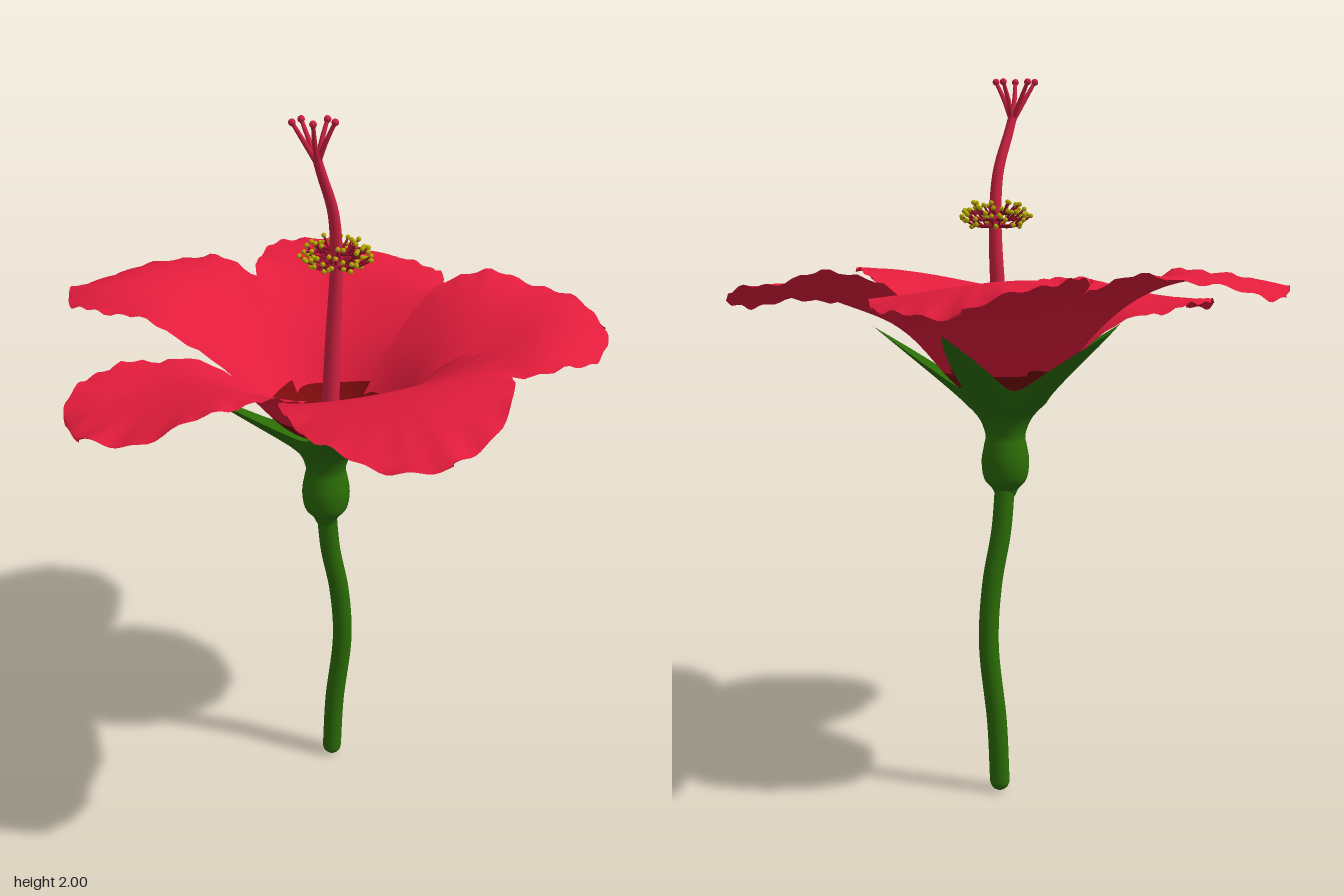
import * as THREE from 'three';

const mat = (name, color, side = THREE.FrontSide) => {
  const m = new THREE.MeshStandardMaterial({ color, side });
  m.name = name;
  return m;
};
const V = (x, y, z) => new THREE.Vector3(x, y, z);
const DEG = Math.PI / 180;

// Surface from a rule f(u, v) -> Vector3; wrap joins the last column to the first
function surface(f, rows, cols, wrap = false) {
  const pos = [], idx = [], n = wrap ? cols : cols + 1;
  for (let i = 0; i <= rows; i++)
    for (let j = 0; j < n; j++) pos.push(...f(i / rows, j / cols).toArray());
  for (let i = 0; i < rows; i++)
    for (let j = 0; j < cols; j++) {
      const a = i * n + j, b = i * n + (j + 1) % n;
      idx.push(a, a + n, b, b, a + n, b + n);
    }
  const g = new THREE.BufferGeometry();
  g.setAttribute('position', new THREE.Float32BufferAttribute(pos, 3));
  g.setIndex(idx);
  g.computeVertexNormals();
  return g;
}

// Tube through points whose radius runs from r0 to r1
function taperedTube(points, r0, r1, segs, sides) {
  const curve = new THREE.CatmullRomCurve3(points);
  const g = new THREE.TubeGeometry(curve, segs, 1, sides);
  const p = g.attributes.position, v = V(0, 0, 0);
  for (let i = 0; i < p.count; i++) {
    const t = Math.floor(i / (sides + 1)) / segs, c = curve.getPointAt(t);
    v.fromBufferAttribute(p, i).sub(c).multiplyScalar(r0 + (r1 - r0) * t).add(c);
    p.setXYZ(i, v.x, v.y, v.z);
  }
  return g;
}

export function createModel() {
  const root = new THREE.Group();
  root.name = 'flower';
  const green = mat('leafGreen', 0x2b6c06);
  const calyxGreen = mat('calyxGreen', 0x2b6c06, THREE.DoubleSide);
  const red = mat('petalRed', 0xe31c3c, THREE.DoubleSide);
  const dark = mat('throatDarkRed', 0x7a0a0c, THREE.DoubleSide);
  const columnRed = mat('columnRed', 0xd22242);
  const filamentRed = mat('filamentRed', 0x94102c);
  const yellow = mat('antherYellow', 0xbcac04);
  const add = (name, geo, material, parent = root) => {
    const m = new THREE.Mesh(geo, material);
    m.name = name;
    parent.add(m);
    return m;
  };

  // Stem with a rounded foot
  add('stem', taperedTube([V(0.002, 0.028, -0.04), V(0.01, 0.2, -0.039), V(0.033, 0.43, -0.034),
    V(0.023, 0.6, -0.023), V(-0.003, 0.75, -0.009), V(-0.015, 0.9, 0.005)], 0.028, 0.028, 40, 16), green);
  add('stemFoot', new THREE.SphereGeometry(0.028, 16, 10), green).position.set(0.002, 0.028, -0.04);

  // Calyx: round bulb flaring into five pointed, channelled sepals
  const bulb = new THREE.SplineCurve([[0.027, 0.845], [0.038, 0.868], [0.06, 0.895], [0.067, 0.945],
    [0.06, 0.99], [0.056, 1.02], [0.075, 1.068], [0.115, 1.11]].map(p => new THREE.Vector2(...p)));
  const calyxRule = (u, v) => {
    const a = v * 360, off = Math.abs(((a + 36) % 72) - 36) / 36;
    let r, y;
    if (u <= 0.6) {
      const p = bulb.getPoint(u / 0.6);
      r = p.x; y = p.y;
    } else {
      const t = (u - 0.6) / 0.4, rim = 0.14 + 0.235 * Math.pow(1 - off, 2.2);
      r = 0.115 + (rim - 0.115) * t;
      y = 1.11 + 0.8 * (r - 0.115) + 0.026 * t * (1 - (1 - off) ** 3);
    }
    const t = (a + 10) * DEG;
    return V(-0.015 + r * Math.cos(t), y, 0.01 + r * Math.sin(t));
  };
  add('calyx', surface(calyxRule, 40, 100, true), calyxGreen);

  // Petals: shared funnel shape, each with its own angle, length, lift and tilt
  const petals = [
    [-4, 0.755, 0.0, -0.045],
    [70, 0.79, 0.015, -0.035],
    [137.5, 0.8, -0.015, -0.02],
    [207, 0.79, 0.042, 0.0],
    [279, 0.757, 0.02, -0.025],
  ];
  petals.forEach(([angle, len, lift, tilt], k) => {
    const wide = 0.44, half = 0.275;
    const point = (s, v) => {
      const w = s < wide ? half * Math.sin(Math.PI / 2 * s / wide)
        : half * Math.sqrt(Math.max(0, 1 - ((s - wide) / (len - wide)) ** 2));
      const x = s, z = w * v, d = Math.hypot(x, z);
      const outer = THREE.MathUtils.smoothstep(d, 0.18, 0.5);
      const edge = Math.max(Math.abs(v) ** 6, (s / len) ** 12) * outer;
      const th = Math.atan2(z, x - 0.4);
      const y = 1.08 + 0.345 * Math.sin(Math.PI / 2 * d / 0.58)
        - 0.04 * Math.exp(-(((d - 0.13) / 0.09) ** 2))
        + lift * outer + tilt * (z / half) * outer - 0.006 * v
        + 0.011 * outer * Math.sin(11 * x + 9 * z + k * 2)
        + edge * (0.006 * Math.sin(9 * th + k) + 0.005 * Math.sin(23 * th + 2 * k));
      const c = Math.cos(angle * DEG), n = Math.sin(angle * DEG);
      const ripple = 1 + 0.004 * edge * Math.sin(13 * th + k);
      return V((x * c - z * n) * ripple - 0.008, y, (x * n + z * c) * ripple);
    };
    // Edge of the dark throat patch
    const border = v => 0.168 * (1 - 0.28 * v * v + 0.08 * v);
    const g = new THREE.Group();
    g.name = 'petal' + (k + 1);
    root.add(g);
    add('petalBlade', surface((u, t) => {
      const v = t * 2 - 1, b = border(v);
      return point(b + (len - b) * Math.sin(u * Math.PI / 2), v);
    }, 40, 36), red, g);
    add('petalThroat', surface((u, t) => {
      const v = t * 2 - 1;
      return point(0.01 + (border(v) - 0.01) * u, v);
    }, 8, 36), dark, g);
  });

  // Central column, curving at the top
  add('column', taperedTube([V(-0.01, 1.06, 0), V(0.0, 1.25, -0.01), V(0.006, 1.4, -0.015),
    V(0.014, 1.6, -0.014), V(0.006, 1.74, 0.004), V(-0.024, 1.85, 0.036), V(-0.036, 1.895, 0.048)],
  0.027, 0.012, 40, 14), columnRed);

  // Five stigma branches with round tips
  const stigma = new THREE.Group();
  stigma.name = 'stigma';
  root.add(stigma);
  for (let i = 0; i < 5; i++) {
    const a = (i * 72 + 20) * DEG, c = Math.cos(a), s = Math.sin(a);
    const tip = V(-0.043 + 0.056 * c, 1.987 + 0.004 * s, 0.052 + 0.05 * s);
    add('stigmaBranch', taperedTube([V(-0.034, 1.88, 0.046),
      V(-0.04 + 0.027 * c, 1.935, 0.05 + 0.025 * s), tip], 0.008, 0.005, 8, 8), columnRed, stigma);
    add('stigmaTip', new THREE.SphereGeometry(0.0095, 10, 8), columnRed, stigma).position.copy(tip);
  }

  // Stamens: three spiralling rings of filaments with anthers
  const stamens = new THREE.Group();
  stamens.name = 'stamens';
  root.add(stamens);
  const anther = new THREE.SphereGeometry(0.0068, 8, 6);
  for (let i = 0; i < 72; i++) {
    const a = i * 137.5 * DEG, ring = i % 3;
    const reach = 0.082 + 0.016 * Math.sin(i * 7.3) - 0.005 * ring, y = 1.595 + ring * 0.017;
    const c = Math.cos(a), s = Math.sin(a);
    const at = (r, h) => V(0.014 + r * c, h, -0.016 + r * s);
    const tip = at(reach, y + 0.016 + 0.016 * Math.sin(i * 3.1));
    add('filament', taperedTube([at(0.012, y), at(reach * 0.6, y + 0.002), tip],
      0.0038, 0.0028, 5, 5), filamentRed, stamens);
    add('anther', anther, yellow, stamens).position.copy(tip);
  }
  return root;
}
